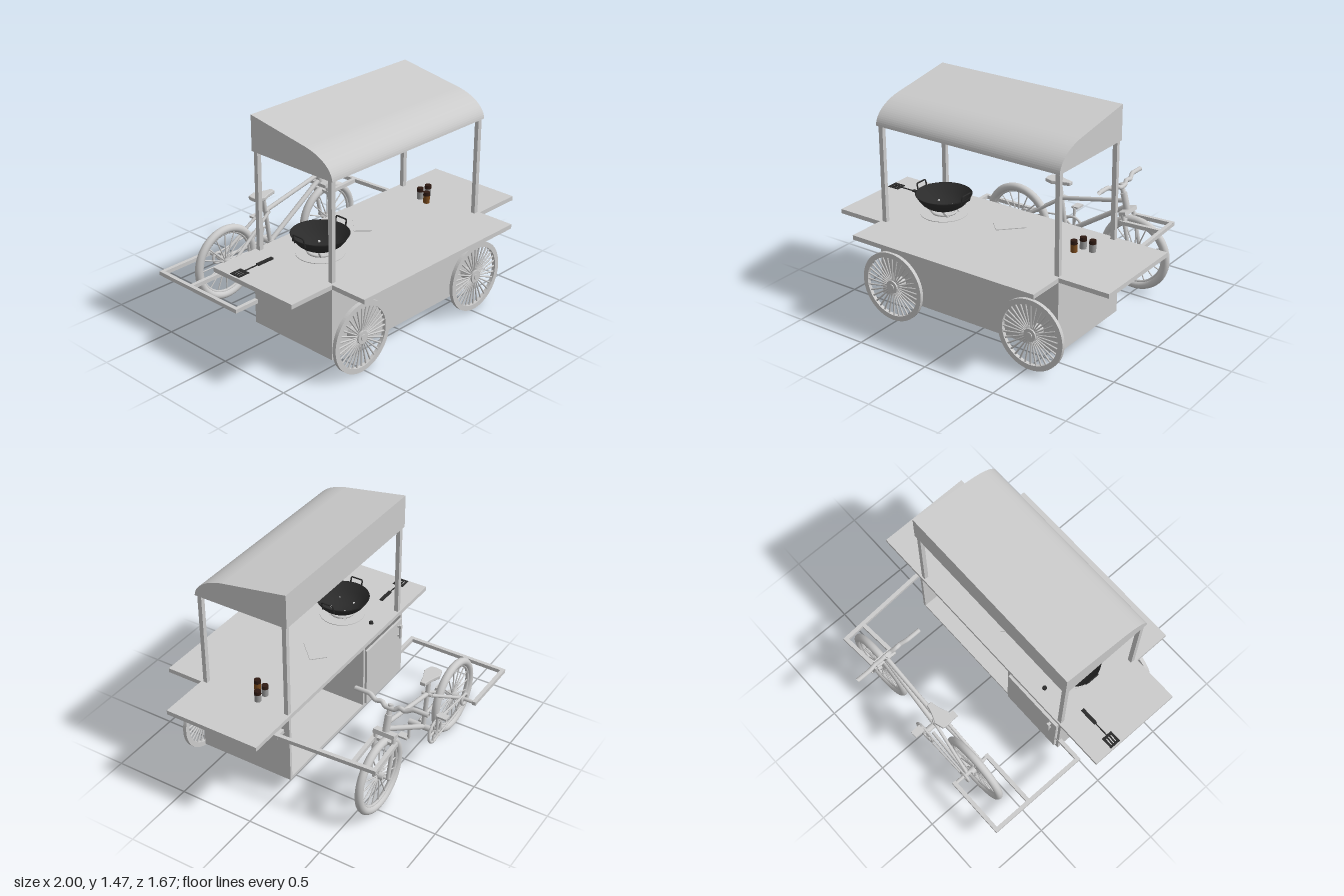
import * as THREE from 'three';

const mat = (color) => new THREE.MeshStandardMaterial({ color, side: THREE.DoubleSide });
const grey = mat(0xcccccc), dark = mat(0x2b2b2b), brown = mat(0x7a4a1c), capBrown = mat(0x2e1a12), pale = mat(0x9a9a9a);
const V = (x, y, z) => new THREE.Vector3(x, y, z);

function add(parent, name, geo, pos = [0, 0, 0], material = grey) {
  const m = new THREE.Mesh(geo, material);
  m.name = name;
  m.position.set(...pos);
  parent.add(m);
  return m;
}

// box given by its min and max on each axis
function box(parent, name, x0, x1, y0, y1, z0, z1, material) {
  return add(parent, name, new THREE.BoxGeometry(x1 - x0, y1 - y0, z1 - z0),
    [(x0 + x1) / 2, (y0 + y1) / 2, (z0 + z1) / 2], material);
}

// round rod between two points
function rod(parent, name, a, b, r, r2 = r, material = grey) {
  const p = V(...a), q = V(...b), d = q.clone().sub(p);
  const m = add(parent, name, new THREE.CylinderGeometry(r2, r, d.length(), 12), p.clone().add(q).multiplyScalar(0.5).toArray(), material);
  m.quaternion.setFromUnitVectors(V(0, 1, 0), d.normalize());
  return m;
}

// square bar between two points
function beam(parent, name, a, b, w = 0.026) {
  const p = V(...a), q = V(...b);
  const m = add(parent, name, new THREE.BoxGeometry(w, w, p.distanceTo(q) + w), p.clone().add(q).multiplyScalar(0.5).toArray());
  m.lookAt(q);
  return m;
}

function tube(parent, name, pts, r, material = grey, tension = 0.2) {
  const c = new THREE.CatmullRomCurve3(pts.map((p) => V(...p)), false, 'catmullrom', tension);
  return add(parent, name, new THREE.TubeGeometry(c, 40, r, 10), [0, 0, 0], material);
}

function group(parent, name, pos = [0, 0, 0]) {
  const g = new THREE.Group();
  g.name = name;
  g.position.set(...pos);
  parent.add(g);
  return g;
}

function spokes(parent, count, r0, r1, t0, t1) {
  for (let i = 0; i < count; i++) {
    const a = (i / count) * Math.PI * 2, c = Math.cos(a), s = Math.sin(a);
    rod(parent, 'spoke', [r0 * c, r0 * s, 0], [r1 * c, r1 * s, 0], t0, t1);
  }
}

function buildCabinet(root) {
  const g = group(root, 'cabinet');
  box(g, 'floor', -0.68, 0.66, 0.115, 0.135, -0.07, 0.58);
  box(g, 'frontPanel', -0.68, 0.66, 0.135, 0.585, 0.56, 0.58);
  box(g, 'rightPanel', -0.68, -0.66, 0.135, 0.585, -0.07, 0.56);
  box(g, 'leftPanel', 0.64, 0.66, 0.135, 0.585, -0.07, 0.56);
  box(g, 'divider', -0.21, -0.19, 0.135, 0.585, -0.07, 0.56);
  box(g, 'door', -0.655, -0.21, 0.14, 0.56, -0.085, -0.07);
  box(g, 'doorHandle', -0.615, -0.595, 0.44, 0.54, -0.11, -0.097);
  for (const y of [0.45, 0.52]) box(g, 'handleMount', -0.613, -0.597, y, y + 0.012, -0.1, -0.085);
  // counter with side wings and a front shelf
  box(g, 'counter', -1, 1, 0.583, 0.612, -0.07, 0.58);
  box(g, 'frontShelf', -0.68, 0.66, 0.583, 0.612, 0.58, 0.83);
}

function buildCanopy(root) {
  const g = group(root, 'canopy');
  for (const x of [-0.652, 0.638]) for (const z of [0.553, -0.046])
    box(g, 'post', x - 0.015, x + 0.015, 0.61, 1.265, z - 0.014, z + 0.014);
  // curved shell, open underneath; shape is drawn in (z, y)
  const outline = (s) => {
    s.moveTo(0.58, 1.247);
    s.bezierCurveTo(0.575, 1.33, 0.47, 1.385, 0.36, 1.402);
    s.lineTo(-0.07, 1.473);
    s.lineTo(-0.07, 1.247);
    return s;
  };
  const toX = (geo) => geo.rotateY(-Math.PI / 2);
  const pts = outline(new THREE.Path()).getPoints(20);
  const inner = pts.map((p) => new THREE.Vector2(p.x + (p.x > 0.25 ? -0.008 : 0.008), Math.max(1.247, p.y - 0.008))).reverse();
  inner[0].y = inner[inner.length - 1].y = 1.247;
  const shell = new THREE.ExtrudeGeometry(new THREE.Shape([...pts, ...inner]), { depth: 1.335, bevelEnabled: false });
  add(g, 'roofShell', toX(shell), [0.66, 0, 0]);
  for (const x of [-0.667, 0.66])
    add(g, 'roofSide', toX(new THREE.ExtrudeGeometry(outline(new THREE.Shape()), { depth: 0.008, bevelEnabled: false })), [x, 0, 0]);
  // frame under the roof
  for (const z of [-0.046, 0.25, 0.553]) box(g, 'longRail', -0.665, 0.652, 1.25, 1.272, z - 0.012, z + 0.012);
  for (const x of [-0.652, -0.22, 0.21, 0.638]) box(g, 'crossRail', x - 0.012, x + 0.012, 1.25, 1.272, -0.05, 0.56);
}

function buildCartWheel(root, x) {
  const g = group(root, 'cartWheel', [x, 0.24, 0.663]);
  const rim = new THREE.Shape().absarc(0, 0, 0.23, 0, Math.PI * 2);
  rim.holes.push(new THREE.Path().absarc(0, 0, 0.197, 0, Math.PI * 2));
  add(g, 'rim', new THREE.ExtrudeGeometry(rim, { depth: 0.024, bevelEnabled: false, curveSegments: 48 }), [0, 0, -0.012]);
  spokes(g, 32, 0.03, 0.2, 0.004, 0.006);
  rod(g, 'hub', [0, 0, -0.012], [0, 0, 0.014], 0.042);
  rod(g, 'hubCap', [0, 0, 0], [0, 0, 0.02], 0.02);
  rod(g, 'axle', [0, 0, -0.09], [0, 0, 0], 0.037);
}

function buildBikeWheel(bike, x) {
  const g = group(bike, 'bikeWheel', [x, 0.26, 0]);
  add(g, 'tyre', new THREE.TorusGeometry(0.229, 0.026, 14, 56));
  add(g, 'rim', new THREE.TorusGeometry(0.203, 0.01, 8, 48));
  spokes(g, 16, 0.015, 0.205, 0.005, 0.004);
  rod(g, 'hub', [0, 0, -0.035], [0, 0, 0.035], 0.024);
  rod(g, 'axle', [0, 0, -0.08], [0, 0, 0.08], 0.01);
}

function buildBike(root) {
  const g = group(root, 'bicycle', [0, 0, -0.588]);
  buildBikeWheel(g, -0.455);
  buildBikeWheel(g, 0.475);
  // frame tubes
  rod(g, 'seatTube', [-0.065, 0.265, 0], [-0.118, 0.605, 0], 0.015);
  rod(g, 'topTube', [-0.105, 0.5, 0], [0.385, 0.605, 0], 0.015);
  rod(g, 'downTube', [-0.065, 0.265, 0], [0.395, 0.565, 0], 0.017);
  rod(g, 'headTube', [0.41, 0.53, 0], [0.375, 0.66, 0], 0.022);
  rod(g, 'stem', [0.385, 0.63, 0], [0.352, 0.72, 0], 0.016);
  for (const s of [-1, 1]) {
    rod(g, 'chainStay', [-0.455, 0.26, s * 0.06], [-0.1, 0.265, s * 0.045], 0.011);
    rod(g, 'seatStay', [-0.455, 0.26, s * 0.06], [-0.1, 0.5, s * 0.03], 0.011);
    rod(g, 'forkLeg', [0.475, 0.26, s * 0.062], [0.41, 0.535, s * 0.062], 0.013);
    // crank arms point opposite ways
    rod(g, 'crank', [-0.065, 0.265, s * 0.095], [-0.065, 0.265 - s * 0.135, s * 0.1], 0.01);
    box(g, 'pedal', -0.09, -0.04, 0.258 - s * 0.135, 0.272 - s * 0.135, s * 0.135 - 0.035, s * 0.135 + 0.035);
  }
  rod(g, 'stayBridge', [-0.1, 0.5, -0.035], [-0.1, 0.5, 0.035], 0.012);
  rod(g, 'bottomBracket', [-0.065, 0.265, -0.1], [-0.065, 0.265, 0.1], 0.02);
  const crown = add(g, 'forkCrown', new THREE.BoxGeometry(0.05, 0.028, 0.145), [0.41, 0.54, 0]);
  crown.rotation.z = 0.24;
  // chain drive
  add(g, 'chainRing', new THREE.TorusGeometry(0.075, 0.009, 8, 32), [-0.065, 0.265, -0.083]);
  for (let i = 0; i < 5; i++) {
    const a = i * Math.PI * 0.4;
    rod(g, 'ringArm', [-0.065, 0.265, -0.083], [-0.065 + 0.075 * Math.cos(a), 0.265 + 0.075 * Math.sin(a), -0.083], 0.008);
  }
  add(g, 'rearSprocket', new THREE.TorusGeometry(0.035, 0.01, 8, 24), [-0.455, 0.26, -0.083]);
  for (const s of [-1, 1]) rod(g, 'chain', [-0.455, 0.26 + s * 0.035, -0.083], [-0.065, 0.265 + s * 0.075, -0.083], 0.006);
  // saddle, wide at the back
  const seat = new THREE.Shape();
  seat.moveTo(-0.205, -0.035);
  seat.quadraticCurveTo(-0.215, 0, -0.205, 0.035);
  seat.lineTo(-0.15, 0.052);
  seat.quadraticCurveTo(-0.1, 0.025, -0.035, 0.014);
  seat.lineTo(-0.035, -0.014);
  seat.quadraticCurveTo(-0.1, -0.025, -0.15, -0.052);
  add(g, 'saddle', new THREE.ExtrudeGeometry(seat, { depth: 0.014, bevelSize: 0.004, bevelThickness: 0.006, bevelSegments: 3 }).rotateX(-Math.PI / 2), [0, 0.612, 0]);
  // handlebar, dipped in the middle
  const half = [[0.345, 0.735, 0.25], [0.345, 0.735, 0.15], [0.36, 0.715, 0.1], [0.355, 0.72, 0.06], [0.365, 0.7, 0.03]];
  tube(g, 'handlebar', [...half, ...half.map(([x, y, z]) => [x, y, -z]).reverse()], 0.015);
}

// bars that join the bicycle to the cart
function buildHitch(root) {
  const g = group(root, 'hitch'), y = 0.267, t = 0.485;
  beam(g, 'rearLink', [-0.847, y, -0.75], [-0.847, y, -0.06]);
  beam(g, 'rearMount', [-0.847, y, -0.06], [-0.66, y, -0.06]);
  for (const z of [-0.75, -0.478]) beam(g, 'rearArm', [-0.847, y, z], [-0.45, y, z]);
  rod(g, 'rearAxleBar', [-0.45, y, -0.75], [-0.45, y, -0.478], 0.012);
  beam(g, 'frontLink', [0.685, t, -0.68], [0.722, t, -0.02]);
  beam(g, 'frontMount', [0.722, t, -0.02], [0.65, t, -0.02]);
  beam(g, 'frontArm', [0.685, t, -0.68], [0.415, t, -0.66]);
  beam(g, 'frontArm', [0.69, t, -0.535], [0.415, t, -0.515]);
  beam(g, 'frontCross', [0.415, t, -0.66], [0.415, t, -0.515], 0.022);
}

function buildCookware(root) {
  const g = group(root, 'cookware', [-0.435, 0.612, 0.245]);
  // burner
  add(g, 'burnerPlate', new THREE.CylinderGeometry(0.15, 0.15, 0.004, 40), [0, 0.002, 0]);
  const ring = add(g, 'burnerRing', new THREE.TorusGeometry(0.075, 0.008, 8, 32), [0, 0.012, 0]);
  ring.rotation.x = Math.PI / 2;
  for (let i = 0; i < 4; i++) {
    const a = Math.PI / 4 + i * Math.PI / 2, c = Math.cos(a), s = Math.sin(a);
    beam(g, 'grateArm', [0.04 * c, 0.018, 0.04 * s], [0.12 * c, 0.018, 0.12 * s], 0.012);
  }
  // wok
  const bowl = [[0, 0.026], [0.05, 0.03], [0.1, 0.047], [0.145, 0.08], [0.18, 0.133], [0.174, 0.133], [0.14, 0.085], [0.097, 0.053], [0.05, 0.036], [0, 0.032]];
  add(g, 'wok', new THREE.LatheGeometry(new THREE.SplineCurve(bowl.slice(0, 5).map((p) => new THREE.Vector2(...p))).getPoints(16)
    .concat(bowl.slice(5).map((p) => new THREE.Vector2(...p))), 48), [0, 0, 0], dark);
  for (const s of [-1, 1])
    tube(g, 'wokHandle', [[0.168, 0.11, -0.042], [0.18, 0.16, -0.042], [0.183, 0.168, -0.034], [0.183, 0.168, 0.034], [0.18, 0.16, 0.042], [0.168, 0.11, 0.042]]
      .map(([x, y, z]) => [s * x, y, z]), 0.005, dark);
  add(g, 'burnerKnob', new THREE.CylinderGeometry(0.013, 0.015, 0.014, 20), [0.005, 0.007, -0.225], dark);

  // slotted spatula
  const sp = group(root, 'spatula', [-0.95, 0.614, 0.1]);
  const blade = new THREE.Shape([[-0.04, -0.038], [0.042, -0.038], [0.042, 0.038], [-0.04, 0.038]].map((p) => new THREE.Vector2(...p)));
  for (const v of [-0.018, 0, 0.018])
    blade.holes.push(new THREE.Path([[-0.025, v - 0.004], [-0.025, v + 0.004], [0.025, v + 0.004], [0.025, v - 0.004]].map((p) => new THREE.Vector2(...p))));
  add(sp, 'blade', new THREE.ExtrudeGeometry(blade, { depth: 0.004, bevelEnabled: false }).rotateX(-Math.PI / 2), [0, 0, 0], dark);
  rod(sp, 'shaft', [0.04, 0.003, 0], [0.15, 0.004, 0], 0.004, 0.004, dark);
  box(sp, 'grip', 0.14, 0.26, 0, 0.01, -0.011, 0.011, dark);

  // thin board
  const board = add(root, 'board', new THREE.BoxGeometry(0.19, 0.005, 0.11), [0.015, 0.6145, 0.165]);
  board.rotation.y = 0.8;

  // seasoning jars
  for (const [x, z, m] of [[0.54, 0.24, brown], [0.56, 0.17, pale], [0.63, 0.175, pale]]) {
    const jar = group(root, 'jar', [x, 0.612, z]);
    add(jar, 'jarBody', new THREE.CylinderGeometry(0.021, 0.021, 0.052, 20), [0, 0.026, 0], m);
    add(jar, 'jarCap', new THREE.CylinderGeometry(0.021, 0.022, 0.024, 20), [0, 0.063, 0], capBrown);
  }
}

export function createModel() {
  const root = new THREE.Group();
  root.name = 'foodCart';
  buildCabinet(root);
  buildCanopy(root);
  for (const x of [-0.52, 0.525]) buildCartWheel(root, x);
  buildBike(root);
  buildHitch(root);
  buildCookware(root);
  return root;
}
